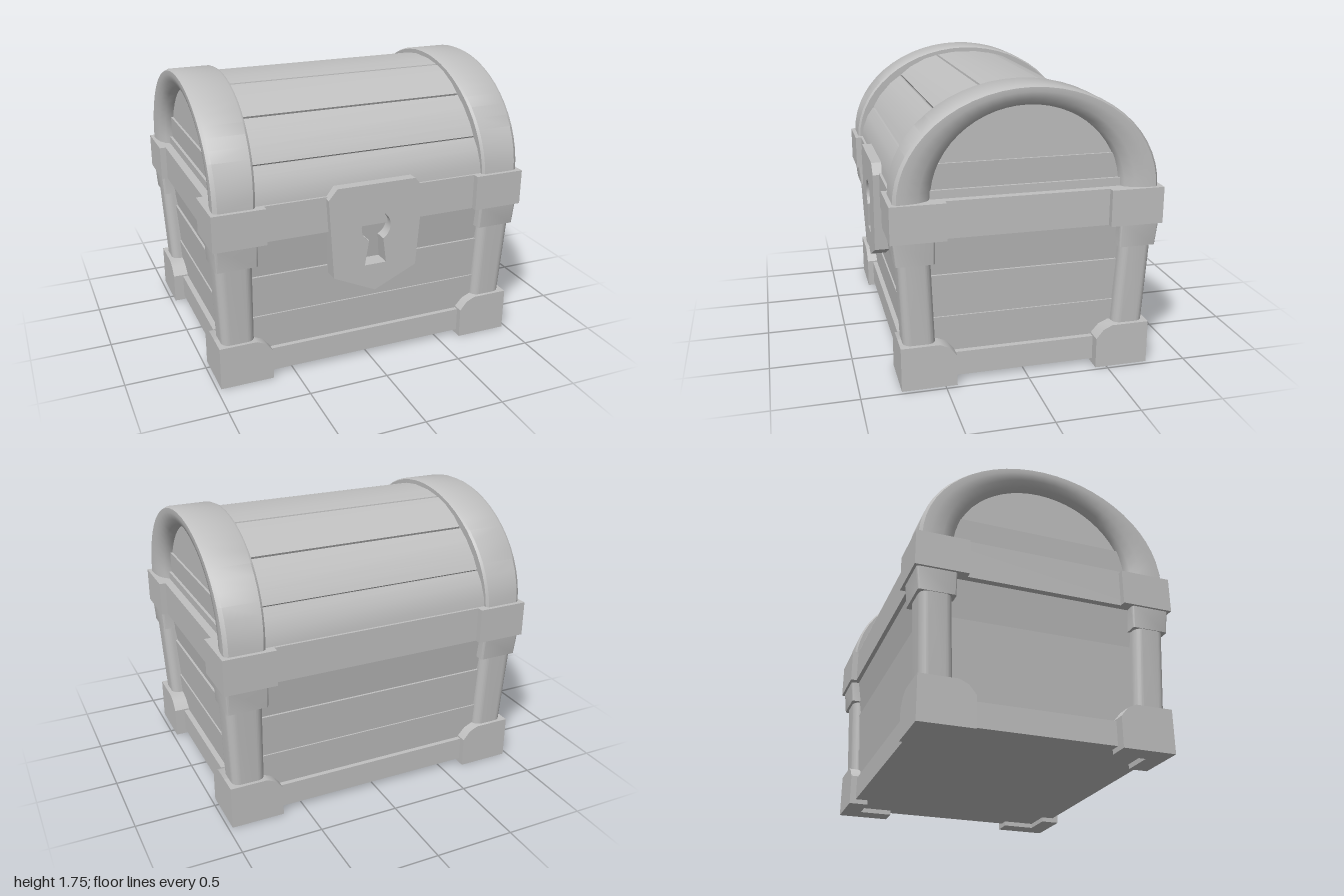
import * as THREE from 'three';
import { toCreasedNormals } from 'three/addons/utils/BufferGeometryUtils.js';

const stone = new THREE.MeshStandardMaterial({ color: 0xc0c0c0 });
stone.name = 'plain grey';

export function createModel() {
  const chest = new THREE.Group();
  chest.name = 'treasureChest';

  const add = (name, geometry) => {
    const mesh = new THREE.Mesh(toCreasedNormals(geometry, 0.6), stone);
    mesh.name = name;
    chest.add(mesh);
    return mesh;
  };
  const polygon = (pts) => new THREE.Shape(pts.map(([x, y]) => new THREE.Vector2(x, y)));
  const extrude = (shape, depth) =>
    new THREE.ExtrudeGeometry(shape, { depth, bevelEnabled: false, curveSegments: 12 });

  // Unit square column, optionally with rounded corners, y from 0 to 1
  function column(r) {
    const s = new THREE.Shape();
    s.moveTo(1 - r, -1);
    if (r) s.absarc(1 - r, -1 + r, r, -Math.PI / 2, 0);
    s.lineTo(1, 1 - r);
    if (r) s.absarc(1 - r, 1 - r, r, 0, Math.PI / 2);
    s.lineTo(-1 + r, 1);
    if (r) s.absarc(-1 + r, 1 - r, r, Math.PI / 2, Math.PI);
    s.lineTo(-1, -1 + r);
    if (r) s.absarc(-1 + r, -1 + r, r, Math.PI, Math.PI * 1.5);
    s.closePath();
    return extrude(s, 1).rotateX(-Math.PI / 2);
  }

  // Tapered block between two rectangles given as [centreX, centreZ, halfX, halfZ]
  function block(name, y0, y1, low, high = low, round = 0) {
    const g = column(round);
    const p = g.attributes.position;
    for (let i = 0; i < p.count; i++) {
      const t = p.getY(i);
      const [cx, cz, hx, hz] = low.map((v, k) => v + (high[k] - v) * t);
      p.setXYZ(i, cx + p.getX(i) * hx, y0 + (y1 - y0) * t, cz + p.getZ(i) * hz);
    }
    return add(name, g);
  }

  // Body: stacked plank courses that flare upward
  block('baseCourse', 0.03, 0.18, [0, 0, 0.91, 0.72]);
  block('lowerPlanks', 0.18, 0.405, [0, 0, 0.875, 0.69], [0, 0, 0.89, 0.705]);
  block('middlePlanks', 0.4, 0.67, [0, 0, 0.88, 0.695], [0, 0, 0.90, 0.715]);
  block('upperPlanks', 0.665, 0.92, [0, 0, 0.885, 0.70], [0, 0, 0.92, 0.74]);
  block('rimBand', 0.91, 1.13, [0, 0, 0.96, 0.765]);

  // Lid: curved planks with narrow grooves at the seams
  const half = [[0.75, 1.12], [0.665, 1.34], [0.465, 1.565], [0.2, 1.7]];
  const seams = [...half, ...half.map(([z, y]) => [-z, y]).reverse()]
    .map(([z, y]) => new THREE.Vector2(z, y));
  const lidPoints = [];
  const hub = new THREE.Vector2(0, 1.1);
  for (let i = 0; i < seams.length - 1; i++) {
    const a = seams[i], b = seams[i + 1];
    const along = b.clone().sub(a).normalize();
    const out = new THREE.Vector2(along.y, -along.x);
    if (i) lidPoints.push(hub.clone().lerp(a, 0.975));
    for (const t of [0.02, 0.3, 0.7, 0.98]) {
      const lift = 0.022 * 4 * t * (1 - t);
      lidPoints.push(a.clone().lerp(b, t).addScaledVector(out, lift));
    }
  }
  const lid = extrude(new THREE.Shape(lidPoints), 1.78);
  add('lidPlanks', lid.translate(0, 0, -0.89).rotateY(-Math.PI / 2));

  // Overlapping boards on both ends of the lid
  for (const s of [-1, 1]) {
    block('lidEndLowerBoard', 1.12, 1.18, [s * 0.885, 0, 0.025, 0.62]);
    block('lidEndBoard', 1.18, 1.33, [s * 0.885, 0, 0.008, 0.6], [s * 0.89, 0, 0.014, 0.58]);
  }

  // End hoops: a rounded section swept over an elliptical arch
  function hoop(s) {
    const section = [[0.70, 0.9], [0.70, 0.06], [0.715, 0], [0.955, 0], [0.978, 0.08],
      [0.978, 0.3], [0.965, 0.65], [0.935, 0.9], [0.90, 1], [0.80, 1]];
    const n = section.length, steps = 28, pos = [], index = [];
    for (let i = 0; i <= steps; i++) {
      const a = Math.PI * i / steps;
      for (const [x, t] of section) {
        const inset = x < 0.75 ? 0.035 * (1 - Math.sin(a)) : 0;
        pos.push(s * (x + inset), 1.12 + (0.635 - 0.12 * t) * Math.sin(a),
          (0.78 - 0.22 * t) * Math.cos(a));
      }
    }
    for (let i = 0; i < steps; i++) {
      for (let j = 0; j < n; j++) {
        const a = i * n + j, b = i * n + (j + 1) % n, c = a + n, d = b + n;
        if (s > 0) index.push(a, b, c, b, d, c);
        else index.push(a, c, b, b, c, d);
      }
    }
    const g = new THREE.BufferGeometry();
    g.setAttribute('position', new THREE.Float32BufferAttribute(pos, 3));
    g.setIndex(index);
    add('lidHoop', g);
  }
  hoop(1);
  hoop(-1);

  // Corners: foot plates, leaning post, sleeve and rim bracket
  for (const sx of [-1, 1]) {
    for (const sz of [-1, 1]) {
      block('cornerPost', 0.2, 0.8, [sx * 0.845, sz * 0.64, 0.1, 0.095],
        [sx * 0.862, sz * 0.665, 0.112, 0.095], 0.5);
      block('postSleeve', 0.77, 0.92, [sx * 0.852, sz * 0.663, 0.125, 0.112],
        [sx * 0.855, sz * 0.67, 0.13, 0.12], 0.12);
      block('rimBracket', 0.91, 1.13, [sx * 0.84, sz * 0.645, 0.16, 0.16]);

      const plate = (s, inner, outer) => polygon([[inner, 0], [outer, 0], [outer, 0.27],
        [inner + 0.1, 0.27], [inner + 0.045, 0.245], [inner, 0.19]].map(([u, y]) => [s * u, y]));
      add('footFrontPlate', extrude(plate(sx, 0.645, 0.975), 0.12)
        .translate(0, 0, sz > 0 ? 0.64 : -0.76));
      add('footSidePlate', extrude(plate(-sz, 0.43, 0.76), 0.13).rotateY(Math.PI / 2)
        .translate(sx > 0 ? 0.845 : -0.975, 0, 0));
    }
  }

  // Lock plate with a cut-through keyhole
  const lock = polygon([[-0.27, 0.62], [0, 0.495], [0.27, 0.62], [0.305, 1.12],
    [0.25, 1.185], [-0.25, 1.185], [-0.305, 1.12]]);
  const key = new THREE.Path();
  key.moveTo(-0.07, 0.67);
  key.lineTo(-0.045, 0.83);
  key.absarc(0, 0.91, 0.095, Math.PI * 1.33, -Math.PI * 0.33, true);
  key.lineTo(0.07, 0.67);
  key.closePath();
  lock.holes.push(key);
  add('lockPlate', extrude(lock, 0.12).translate(0, 0, 0.685));

  return chest;
}
